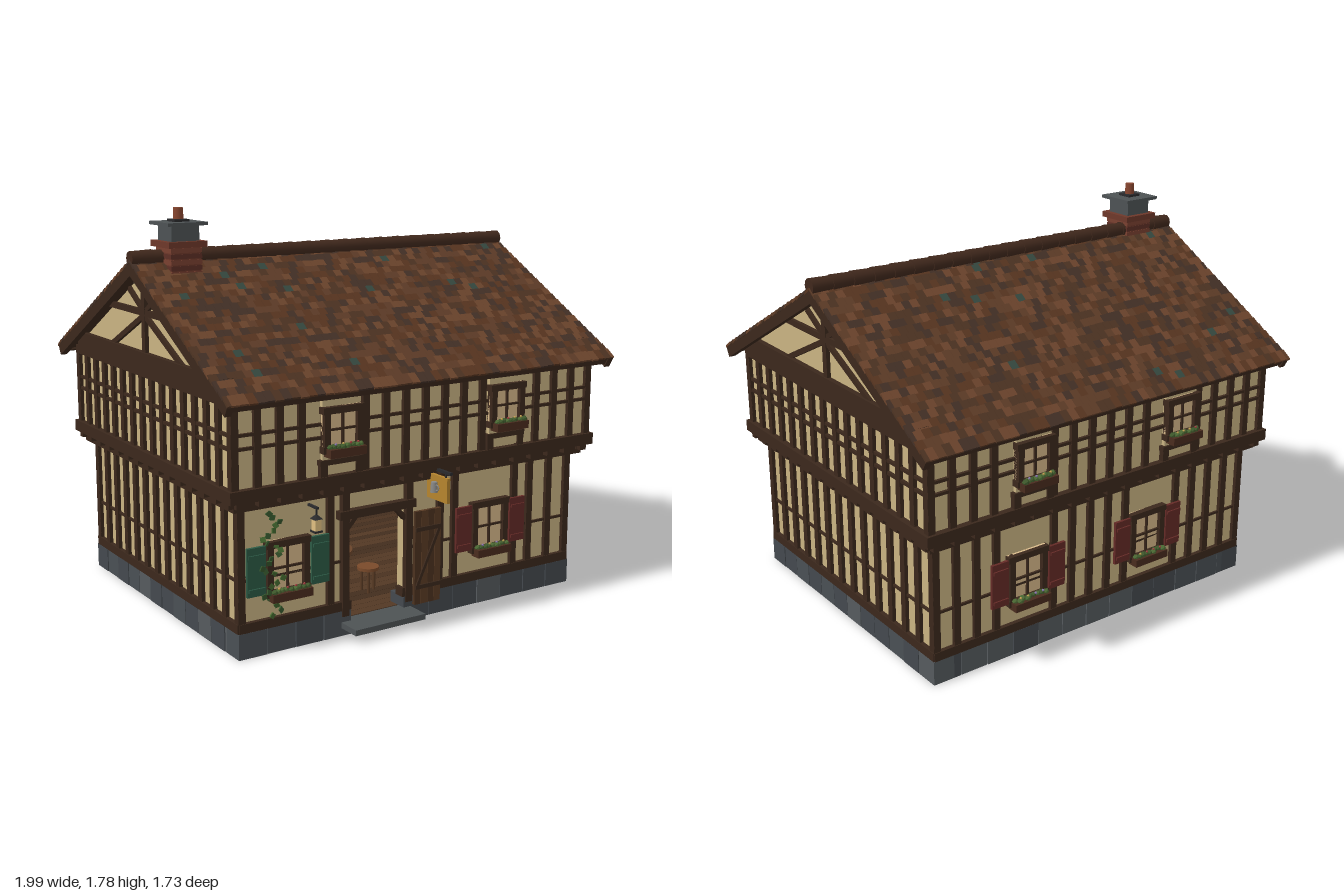
import * as THREE from 'three';
import { mergeGeometries } from 'three/addons/utils/BufferGeometryUtils.js';

const TIMBER = 0x3b281c, PLASTER = 0xc9b382, GLASS = 0xd8b98a, BRICK = 0x6e382a, SLATE = 0x4d5254;
const GREEN = 0x2c5a45, RED = 0x642a26, IRON = 0x2a2a2c, WOOD = 0x5a3b24;
const STONES = [0x4a4f54, 0x555a5e, 0x44494e];
const TILES = [0x5e3c27, 0x4d3322, 0x6c442c, 0x433026, 0x583520];

export function createModel() {
  let seed = 7;
  const rnd = () => (seed = (seed * 16807) % 2147483647) / 2147483647;
  const pick = (list) => list[Math.floor(rnd() * list.length)];

  // Pieces are collected by part name and colour, then merged
  const parts = new Map();
  let frame = new THREE.Matrix4();
  function add(name, color, geo, x = 0, y = 0, z = 0, rx = 0, ry = 0, rz = 0) {
    const m = new THREE.Matrix4().makeRotationFromEuler(new THREE.Euler(rx, ry, rz)).setPosition(x, y, z);
    const g = geo.index ? geo.toNonIndexed() : geo.clone();
    g.applyMatrix4(m.premultiply(frame));
    const key = name + '|' + color;
    if (!parts.has(key)) parts.set(key, { name, color, list: [] });
    parts.get(key).list.push(g);
  }
  const box = (name, color, x, y, z, w, h, d, rx, ry, rz) =>
    add(name, color, new THREE.BoxGeometry(w, h, d), x, y, z, rx, ry, rz);
  // Box given by its left, right, bottom, top, back and front
  const span = (name, color, x0, x1, y0, y1, z0, z1) =>
    box(name, color, (x0 + x1) / 2, (y0 + y1) / 2, (z0 + z1) / 2, x1 - x0, y1 - y0, z1 - z0);
  // Slanted timber in the plane of a wall
  const brace = (x0, y0, x1, y1, w, z) =>
    box('brace', TIMBER, (x0 + x1) / 2, (y0 + y1) / 2, z, Math.hypot(x1 - x0, y1 - y0), w, 0.03, 0, 0, Math.atan2(y1 - y0, x1 - x0));
  const cyl = (name, color, r0, r1, h, n, ...at) => add(name, color, new THREE.CylinderGeometry(r0, r1, h, n), ...at);
  const face = (angle) => { frame = new THREE.Matrix4().makeRotationY(angle); };

  function flowerBox(x, y, z, w) {
    box('flowerBox', 0x4a2c1e, x, y, z + 0.02, w, 0.035, 0.05);
    for (let i = 0; i < 9; i++) {
      const px = x + (i / 8 - 0.5) * (w - 0.03);
      add('foliage', pick([0x3f5a2c, 0x4c6a34]), new THREE.IcosahedronGeometry(0.012 + rnd() * 0.005), px, y + 0.022, z + 0.015 + rnd() * 0.015);
      if (i % 2) add('blossom', pick([0xa04040, 0x8a78b0, 0xc0a050]), new THREE.IcosahedronGeometry(0.006), px, y + 0.036, z + 0.03);
    }
  }
  function windowUnit(x, y0, y1, w, z, shutter) {
    const h = y1 - y0, cy = (y0 + y1) / 2, t = 0.028;
    box('windowPane', GLASS, x, cy, z + 0.004, w, h, 0.012);
    for (const s of [-1, 1]) {
      box('windowFrame', TIMBER, x + s * (w - t) / 2, cy, z + 0.012, t, h, 0.034);
      box('windowFrame', TIMBER, x, cy + s * (h - t) / 2, z + 0.012, w + 0.012, t, 0.036);
      if (shutter) {
        const sx = x + s * (w / 2 + 0.052);
        box('shutter', shutter, sx, cy + 0.005, z + 0.022, 0.086, h - 0.03, 0.014);
        for (const k of [-1, 1]) box('shutterBatten', shutter, sx, cy + k * h * 0.3, z + 0.032, 0.076, 0.014, 0.008);
      }
    }
    box('glazingBar', TIMBER, x, cy, z + 0.012, 0.009, h, 0.016);
    box('glazingBar', TIMBER, x, cy, z + 0.012, w, 0.009, 0.016);
    flowerBox(x, y0 + 0.005, z + 0.018, w - 0.01);
  }

  // Each side: wall angle, half widths and wall planes of both storeys, windows
  const sides = [
    { a: 0, low: 0.865, lowZ: 0.69, up: 0.92, upZ: 0.75, base: 13, upWin: [-0.43, 0.43], lowWin: [-0.65, 0.405], door: true },
    { a: Math.PI / 2, low: 0.69, lowZ: 0.865, up: 0.75, upZ: 0.92, base: 12, gable: true, upWin: [], lowWin: [] },
    { a: Math.PI, low: 0.865, lowZ: 0.69, up: 0.92, upZ: 0.75, base: 13, upWin: [-0.42, 0.4], lowWin: [-0.4, 0.28] },
    { a: -Math.PI / 2, low: 0.69, lowZ: 0.865, up: 0.75, upZ: 0.92, base: 12, gable: true, upWin: [], lowWin: [] },
  ];
  for (const s of sides) {
    face(s.a);
    const { low, lowZ, up, upZ } = s;
    const near = (list, x, d) => list.some((c) => Math.abs(c - x) < d);

    // Stone plinth, open at the doorway
    const half = low + 0.02, bw = (half * 2) / s.base;
    for (let i = 0; i < s.base; i++) {
      if (s.door && (i === 4 || i === 5)) continue;
      box('plinthStone', pick(STONES), -half + bw * (i + 0.5), 0.055, lowZ - 0.03, bw - 0.004, 0.11, 0.094 + rnd() * 0.008);
    }
    // Plaster, sill and rail of the lower wall
    const runs = s.door ? [[-low, -0.355], [-0.06, low]] : [[-low, low]];
    for (const [x0, x1] of runs) {
      span('lowerWall', PLASTER, x0, x1, 0.1, 0.64, lowZ - 0.04, lowZ);
      span('sillBeam', TIMBER, x0 - 0.015, x1 + 0.015, 0.11, 0.15, lowZ - 0.03, lowZ + 0.02);
      span('lowerRail', TIMBER, x0, x1, 0.32, 0.331, lowZ - 0.01, lowZ + 0.01);
    }
    // Lower studs
    let studs = [-low, -0.44, 0.13, 0.21, 0.55, 0.64, 0.755, low];
    if (!s.door) {
      const n = s.gable ? 13 : 17;
      studs = Array.from({ length: n + 1 }, (_, i) => -low + (2 * low * i) / n).filter((x) => !near(s.lowWin, x, 0.11));
    }
    for (const x of studs) box('stud', TIMBER, x, 0.385, lowZ, 0.033, 0.49, 0.034);
    for (const x of s.lowWin) windowUnit(x, 0.24, 0.475, 0.2, lowZ, s.door && x < 0 ? GREEN : RED);

    // Upper studs, rails and windows
    const n = s.gable ? 15 : 18;
    for (let i = 0; i <= n; i++) {
      const x = -up + (2 * up * i) / n;
      if (!near(s.upWin, x, 0.1)) box('stud', TIMBER, x, 0.9, upZ, 0.032, 0.36, 0.034);
    }
    for (const y of [0.888, 0.943]) box('upperRail', TIMBER, 0, y, upZ, up * 2 + 0.03, 0.013, 0.028);
    for (const x of s.upWin) {
      box('windowPanel', PLASTER, x, 0.9, upZ + 0.008, 0.18, 0.33, 0.02);
      windowUnit(x, 0.825, 1.015, 0.185, upZ + 0.012);
      box('windowRail', TIMBER, x, 0.785, upZ + 0.012, 0.21, 0.022, 0.03);
      for (const k of [-1, 1]) box('stud', TIMBER, x + k * 0.085, 0.755, upZ + 0.01, 0.034, 0.07, 0.03);
    }
    // Jetty joist ends and wall plate
    const m = s.gable ? 14 : 18;
    for (let i = 0; i <= m; i++) box('joistEnd', TIMBER, -up + 0.02 + ((2 * up - 0.04) * i) / m, 0.665, upZ - 0.01, 0.035, 0.03, 0.06);
    box('wallPlate', TIMBER, 0, 1.075, upZ, up * 2 + 0.03, 0.04, 0.036);

    // Gable timbers
    if (s.gable) {
      box('gableBeam', TIMBER, 0, 1.127, upZ, 1.44, 0.075, 0.05);
      box('collarBeam', TIMBER, 0, 1.335, upZ, 0.74, 0.027, 0.034);
      box('kingPost', TIMBER, 0, 1.325, upZ, 0.032, 0.36, 0.036);
      for (const k of [-1, 1]) {
        brace(k * 0.35, 1.155, 0, 1.325, 0.024, upZ);
        brace(0, 1.335, k * 0.15, 1.425, 0.022, upZ);
      }
    }
  }

  // Upper storey, jetty beams and gable prism
  face(0);
  box('upperWall', PLASTER, 0, 0.89, 0, 1.84, 0.4, 1.5);
  box('bressummer', TIMBER, 0, 0.701, 0, 1.9, 0.052, 1.56);
  box('headBeam', TIMBER, 0, 0.648, 0, 1.83, 0.038, 1.48);
  const prism = (name, color, hw, y0, y1, len) => {
    const shape = new THREE.Shape([new THREE.Vector2(-hw, y0), new THREE.Vector2(hw, y0), new THREE.Vector2(0, y1)]);
    add(name, color, new THREE.ExtrudeGeometry(shape, { depth: len, bevelEnabled: false }), -len / 2, 0, 0, 0, Math.PI / 2, 0);
  };
  prism('gableWall', PLASTER, 0.78, 1.085, 1.515, 1.84);
  prism('gablePeak', SLATE, 0.116, 1.45, 1.514, 1.85);

  // Roof slopes with overlapping tiles and barge boards
  const pitch = Math.atan2(0.47, 0.85), len = 0.965, rows = 22, cols = 52, step = len / rows;
  for (const a of [0, Math.PI]) {
    frame = new THREE.Matrix4().makeRotationY(a).multiply(new THREE.Matrix4().makeTranslation(0, 1.557, 0))
      .multiply(new THREE.Matrix4().makeRotationX(pitch));
    box('roofDeck', TIMBER, 0, -0.018, len / 2, 1.97, 0.024, len);
    for (const s of [-1, 1]) box('bargeBoard', TIMBER, s * 0.978, -0.028, len / 2, 0.03, 0.052, len + 0.01);
    box('eavesBoard', TIMBER, 0, -0.022, len - 0.008, 1.97, 0.036, 0.016);
    const w = 1.99 / cols;
    for (let r = 0; r < rows; r++) for (let c = 0; c < cols + (r % 2); c++) {
      const edge = r % 2 && (c === 0 || c === cols);
      const x = -0.995 + w * (r % 2 ? c : c + 0.5) + (edge ? (c ? -w / 4 : w / 4) : 0);
      const color = rnd() < 0.012 ? 0x35483f : pick(TILES);
      box('roofTile', color, x, 0, (r + 0.5) * step + rnd() * 0.005, (edge ? w / 2 : w) - 0.0015, 0.01, step * 1.25, 0.12);
    }
  }
  face(0);
  for (let i = 0; i < 20; i++) cyl('ridgeTile', 0x40281c, 0.032, 0.036, 0.104, 10, -0.94 + i * 0.099, 1.568, 0, 0, 0, Math.PI / 2);

  // Chimney
  const cx = -0.775, cz = 0.03;
  box('chimneyShaft', BRICK, cx, 1.53, cz, 0.14, 0.2, 0.14);
  for (let i = 0; i < 5; i++) box('brickCourse', i % 2 ? 0x5d2f25 : 0x7a4030, cx, 1.5 + i * 0.025, cz, 0.146, 0.02, 0.146);
  box('chimneyCorbel', BRICK, cx, 1.625, cz, 0.18, 0.026, 0.18);
  box('chimneyStack', SLATE, cx, 1.668, cz, 0.13, 0.07, 0.13);
  box('chimneyCap', SLATE, cx, 1.711, cz, 0.186, 0.014, 0.186);
  box('flueBase', IRON, cx, 1.722, cz, 0.07, 0.012, 0.07);
  cyl('fluePot', 0x86452f, 0.02, 0.023, 0.055, 12, cx, 1.75, cz);

  // Plank floor
  for (let i = 0; i < 28; i++) box('floorPlank', pick([0x4a3220, 0x533824, 0x432d1d]), 0, 0.045, -0.64 + i * 0.0474, 1.72, 0.03, 0.0455);

  // Doorway frame, step and open door leaf
  for (const x of [-0.37, -0.043]) box('doorPost', TIMBER, x, 0.36, 0.69, 0.034, 0.55, 0.05);
  box('doorLintel', TIMBER, -0.21, 0.53, 0.695, 0.39, 0.036, 0.06);
  span('lowerWall', PLASTER, -0.355, -0.06, 0.53, 0.64, 0.65, 0.69);
  brace(-0.36, 0.46, -0.31, 0.515, 0.02, 0.69);
  brace(-0.055, 0.46, -0.105, 0.515, 0.02, 0.69);
  box('doorStep', SLATE, -0.21, 0.048, 0.745, 0.36, 0.025, 0.15);
  for (let i = 0; i < 4; i++) box('doorPlank', i % 2 ? WOOD : 0x4c321f, -0.007 + i * 0.035, 0.28, 0.722, 0.033, 0.42, 0.016);
  for (const y of [0.15, 0.41]) box('doorBatten', TIMBER, 0.045, y, 0.732, 0.135, 0.018, 0.01);
  box('doorBatten', TIMBER, 0.045, 0.28, 0.732, 0.27, 0.014, 0.01, 0, 0, 1.13);

  // Hanging sign with a tankard on each side
  box('signArm', IRON, 0.055, 0.678, 0.79, 0.014, 0.012, 0.165);
  box('signBoard', 0xb5842e, 0.055, 0.6, 0.785, 0.016, 0.11, 0.14);
  for (const s of [-1, 1]) {
    box('signHanger', IRON, 0.055, 0.665, 0.785 + s * 0.05, 0.006, 0.03, 0.006);
    cyl('tankard', 0x8a8a88, 0.014, 0.017, 0.045, 10, 0.055 + s * 0.02, 0.605, 0.78);
    add('tankardHandle', 0x8a8a88, new THREE.TorusGeometry(0.012, 0.003, 6, 12), 0.055 + s * 0.02, 0.605, 0.8, 0, Math.PI / 2, 0);
  }

  // Wall lantern
  box('lanternArm', IRON, -0.545, 0.6, 0.735, 0.01, 0.01, 0.07);
  box('lanternArm', IRON, -0.545, 0.58, 0.76, 0.006, 0.04, 0.006);
  box('lanternGlass', 0xe0bf80, -0.545, 0.53, 0.76, 0.03, 0.05, 0.03);
  cyl('lanternRoof', IRON, 0.004, 0.028, 0.018, 4, -0.545, 0.563, 0.76, 0, Math.PI / 4, 0);
  box('lanternBase', IRON, -0.545, 0.502, 0.76, 0.038, 0.008, 0.038);

  // Climbing ivy beside the left window
  for (let i = 0; i < 26; i++) {
    const y = 0.17 + i * 0.017;
    box('ivyLeaf', pick([0x35562c, 0x44682f]), -0.745 + Math.sin(i * 0.9) * 0.035 + rnd() * 0.03, y, 0.715 + rnd() * 0.02, 0.022, 0.022, 0.006, rnd() - 0.5, rnd() - 0.5, rnd() * 3);
  }

  // Table with mugs, and stools, inside the doorway
  cyl('tableTop', 0x6b452a, 0.13, 0.13, 0.016, 20, -0.25, 0.255, 0.35);
  cyl('tableLeg', WOOD, 0.02, 0.03, 0.19, 10, -0.25, 0.155, 0.35);
  cyl('tableFoot', WOOD, 0.07, 0.08, 0.015, 12, -0.25, 0.068, 0.35);
  for (let i = 0; i < 3; i++) {
    const t = i * 2.1 + 0.5, x = -0.25 + Math.cos(t) * 0.2, z = 0.35 + Math.sin(t) * 0.2;
    cyl('mug', 0xb5842e, 0.013, 0.013, 0.035, 10, -0.25 + Math.cos(t) * 0.07, 0.28, 0.35 + Math.sin(t) * 0.07);
    cyl('stoolSeat', 0x7a4a2a, 0.05, 0.05, 0.014, 14, x, 0.17, z);
    for (let k = 0; k < 3; k++) cyl('stoolLeg', WOOD, 0.007, 0.007, 0.11, 6, x + Math.cos(k * 2.09) * 0.032, 0.112, z + Math.sin(k * 2.09) * 0.032);
  }

  const house = new THREE.Group();
  house.name = 'timberInn';
  for (const { name, color, list } of parts.values()) {
    const mesh = new THREE.Mesh(mergeGeometries(list), new THREE.MeshStandardMaterial({ color }));
    mesh.name = name;
    house.add(mesh);
  }
  house.position.z = -0.008;
  const model = new THREE.Group();
  model.add(house);
  return model;
}
